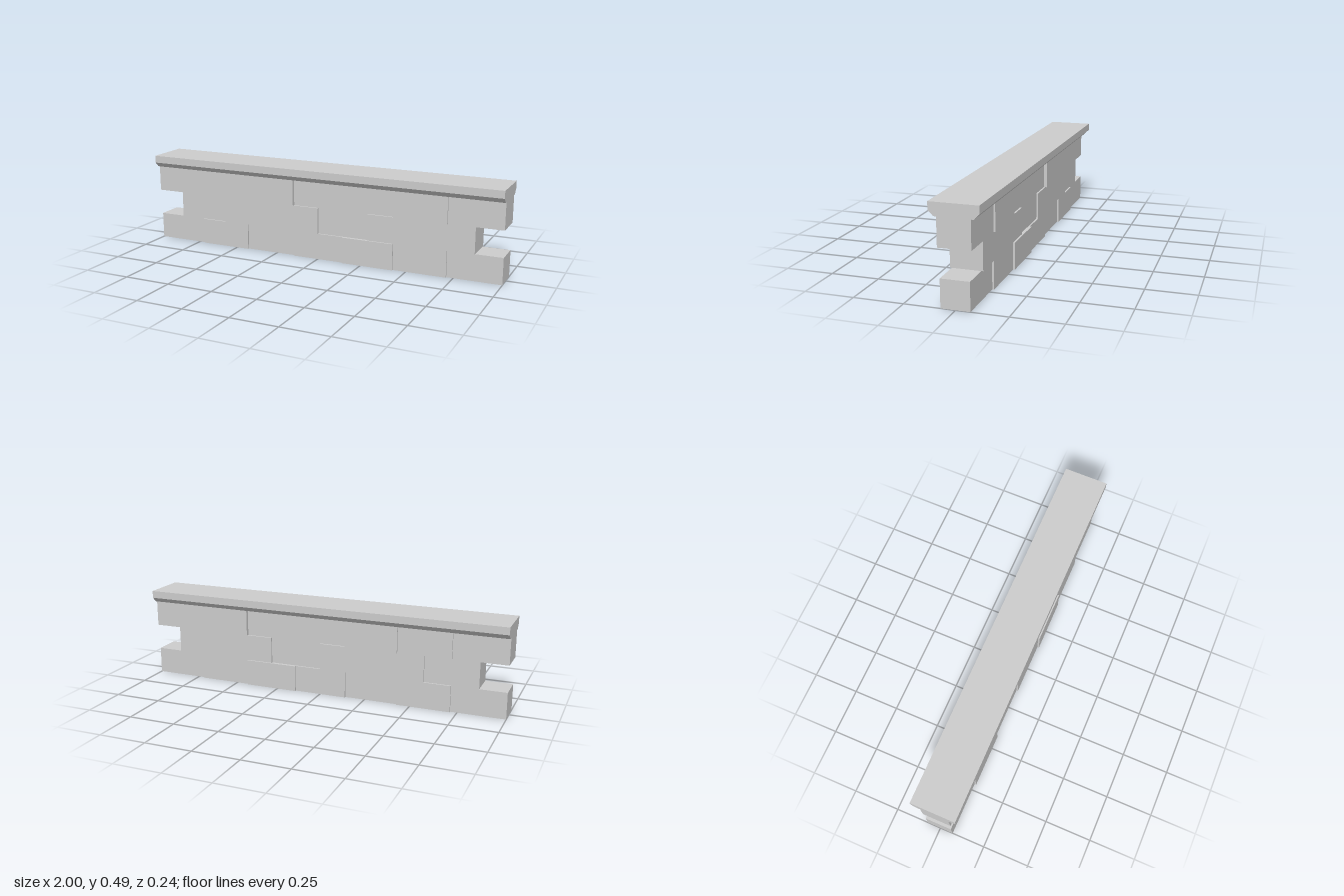
import * as THREE from 'three';

const material = new THREE.MeshStandardMaterial({ color: 0xcccccc, flatShading: true });

const BRICK = 2 / 7;
const ROW = 0.141;
const DEPTHS = [0.071, 0.08, 0.089]; // recessed, flush and proud brick faces

// Each row, from -x to +x: how far every brick stands out at the front and the back
const ROWS = [
  { name: 'bottomCourse', front: [0, 1, 0, 1, 2, 1, 0], back: [0, 1, 0, 1, 2, 1, 0] },
  { name: 'middleCourse', front: [0, 1, 1, 0, 1, 1], back: [0, 1, 1, 0, 1, 1] },
  { name: 'topCourse', front: [1, 1, 2, 0, 0, 2, 1], back: [0, 1, 2, 0, 0, 2, 1] },
];

function course({ name, front, back }, row) {
  const group = new THREE.Group();
  group.name = name;
  front.forEach((level, i) => {
    const zFront = DEPTHS[level];
    const zBack = -DEPTHS[back[i]];
    const brick = new THREE.Mesh(new THREE.BoxGeometry(BRICK, ROW, zFront - zBack), material);
    brick.name = 'brick';
    // The middle course is one brick shorter, leaving a notch at each end
    const x = (i - (front.length - 1) / 2) * BRICK;
    brick.position.set(x, (row + 0.5) * ROW, (zFront + zBack) / 2);
    group.add(brick);
  });
  return group;
}

// Coping stone with chamfered lower edges, extruded along x
function coping() {
  const bottom = 3 * ROW;
  const half = [[0.093, bottom], [0.119, 0.449], [0.119, 0.488]];
  const outline = [...half, ...half.map(([z, y]) => [-z, y]).reverse()];
  const shape = new THREE.Shape(outline.map(([z, y]) => new THREE.Vector2(z, y)));
  const geometry = new THREE.ExtrudeGeometry(shape, { depth: 2, bevelEnabled: false });
  geometry.translate(0, 0, -1).rotateY(Math.PI / 2);
  const mesh = new THREE.Mesh(geometry, material);
  mesh.name = 'coping';
  return mesh;
}

export function createModel() {
  const wall = new THREE.Group();
  wall.name = 'brickWall';
  ROWS.forEach((row, i) => wall.add(course(row, i)));
  wall.add(coping());
  return wall;
}
